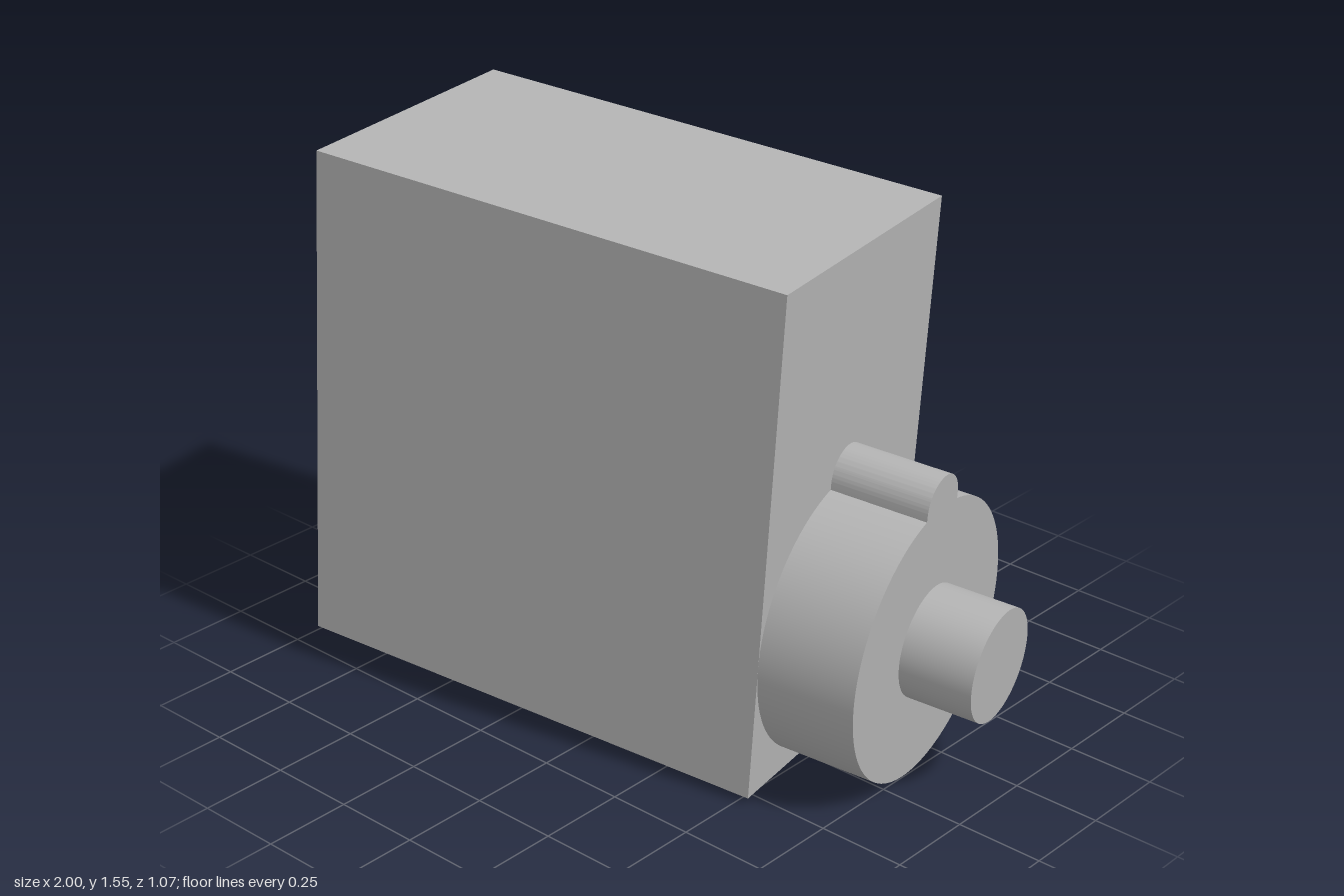
import * as THREE from 'three';
import { toCreasedNormals } from 'three/addons/utils/BufferGeometryUtils.js';

export function createModel() {
  const grey = new THREE.MeshStandardMaterial({ color: 0xb3b3b3 });
  grey.name = 'plain grey';

  const model = new THREE.Group();
  model.name = 'gearMotor';

  // Everything is built square to the housing, then tilted as one
  const assembly = new THREE.Group();
  assembly.name = 'tiltedAssembly';
  assembly.rotation.set(0, THREE.MathUtils.degToRad(9.65), THREE.MathUtils.degToRad(-3.6), 'YXZ');
  assembly.position.set(-0.19, 0.785, 0.015);
  model.add(assembly);

  const add = (name, geometry, x, y, z) => {
    const mesh = new THREE.Mesh(geometry, grey);
    mesh.name = name;
    mesh.position.set(x, y, z);
    assembly.add(mesh);
  };

  const length = 1.423, height = 1.443, width = 0.79;
  const face = length / 2;
  const axisY = -0.326;

  // Housing
  add('housing', new THREE.BoxGeometry(length, height, width), 0, 0, 0);

  // Round flange with a half-round key on top, drawn as one outline
  const R = 0.395, r = 0.082, keyY = 0.403;
  const jointY = R * Math.cos(Math.asin(r / R));
  const jointAngle = Math.atan2(jointY, r);
  const outline = new THREE.Shape();
  outline.absarc(0, 0, R, Math.PI - jointAngle, Math.PI * 2 + jointAngle, false);
  outline.lineTo(r, keyY);
  outline.absarc(0, keyY, r, 0, Math.PI, false);
  outline.closePath();
  const flange = new THREE.ExtrudeGeometry(outline, { depth: 0.28, bevelEnabled: false, curveSegments: 64 });
  flange.rotateY(Math.PI / 2);
  add('keyedFlange', toCreasedNormals(flange, 0.5), face, axisY, 0);

  // Output shaft
  const shaftEnd = 1.2, shaftStart = face + 0.27;
  const shaft = new THREE.CylinderGeometry(0.158, 0.158, shaftEnd - shaftStart, 64);
  shaft.rotateZ(-Math.PI / 2);
  add('outputShaft', shaft, (shaftStart + shaftEnd) / 2, axisY, 0);

  return model;
}
